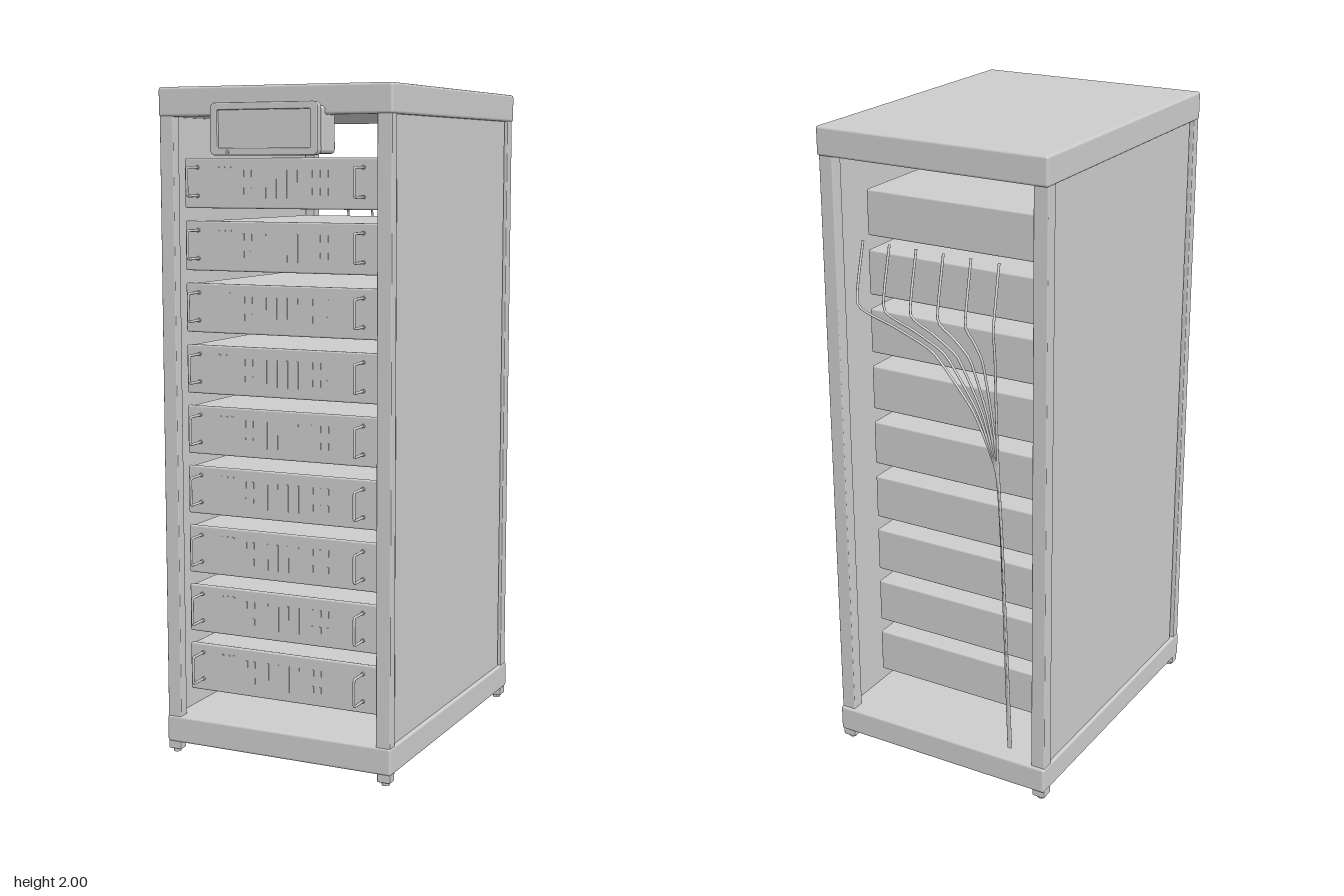
import * as THREE from 'three';
import { RoundedBoxGeometry } from 'three/addons/geometries/RoundedBoxGeometry.js';

const grey = new THREE.MeshStandardMaterial({ color: 0xcccccc });
grey.name = 'light grey';

function add(parent, name, geometry, x = 0, y = 0, z = 0) {
  const mesh = new THREE.Mesh(geometry, grey);
  mesh.name = name;
  mesh.position.set(x, y, z);
  parent.add(mesh);
  return mesh;
}

// box given by its limits on each axis, with optional rounded edges
function block(parent, name, [x0, x1], [y0, y1], [z0, z1], r = 0) {
  const size = [x1 - x0, y1 - y0, z1 - z0];
  const geometry = r ? new RoundedBoxGeometry(...size, 2, r) : new THREE.BoxGeometry(...size);
  return add(parent, name, geometry, (x0 + x1) / 2, (y0 + y1) / 2, (z0 + z1) / 2);
}

function tube(parent, name, points, radius, segments, tension) {
  const path = new THREE.CatmullRomCurve3(points.map(p => new THREE.Vector3(...p)), false, 'catmullrom', tension);
  return add(parent, name, new THREE.TubeGeometry(path, segments, radius, 8));
}

function roundedRect(path, w, h, r) {
  path.moveTo(-w + r, -h);
  path.lineTo(w - r, -h).quadraticCurveTo(w, -h, w, -h + r);
  path.lineTo(w, h - r).quadraticCurveTo(w, h, w - r, h);
  path.lineTo(-w + r, h).quadraticCurveTo(-w, h, -w, h - r);
  path.lineTo(-w, -h + r).quadraticCurveTo(-w, -h, -w + r, -h);
  return path;
}

// cap, base, corner posts, feet and side panels
function cabinet() {
  const g = new THREE.Group();
  g.name = 'cabinet';
  block(g, 'topCap', [-0.372, 0.372], [1.915, 2], [-0.484, 0.491], 0.008);
  block(g, 'base', [-0.372, 0.372], [0.033, 0.116], [-0.484, 0.491], 0.008);
  for (const s of [-1, 1]) {
    const span = (a, b) => (s > 0 ? [a, b] : [-b, -a]);
    for (const [z0, z1] of [[0.454, 0.488], [-0.476, -0.434]]) {
      block(g, 'cornerPost', span(0.324, 0.369), [0.11, 1.92], [z0, z1], 0.003);
      block(g, 'foot', span(0.328, 0.369), [0.01, 0.036], [z0, z1], 0.003);
      add(g, 'footPad', new THREE.CylinderGeometry(0.012, 0.012, 0.012, 16), s * 0.349, 0.006, (z0 + z1) / 2);
    }
    block(g, 'sidePanel', span(0.35, 0.362), [0.11, 1.92], [-0.425, 0.439]);
  }
  return g;
}

// one rack unit: body, faceplate, handles, lights and vent slots
function rackUnit() {
  const g = new THREE.Group();
  g.name = 'rackUnit';
  block(g, 'unitBody', [-0.308, 0.308], [0.003, 0.142], [-0.336, 0.438], 0.006);
  block(g, 'faceplate', [-0.311, 0.311], [0, 0.145], [0.434, 0.448], 0.005);
  for (const x of [-0.267, 0.265]) {
    tube(g, 'handle', [
      [x, 0.118, 0.446], [x, 0.118, 0.504], [x, 0.113, 0.51],
      [x, 0.041, 0.51], [x, 0.036, 0.504], [x, 0.036, 0.446],
    ], 0.004, 40, 0.1);
    for (const y of [0.036, 0.118])
      add(g, 'handleFoot', new THREE.CylinderGeometry(0.006, 0.006, 0.008, 12), x, y, 0.45).rotation.x = Math.PI / 2;
  }
  for (let i = 0; i < 3; i++)
    block(g, 'statusLight', [-0.204 + i * 0.02, -0.196 + i * 0.02], [0.116, 0.12], [0.446, 0.45]);
  for (let i = 0; i < 4; i++)
    block(g, 'ventSlot', [-0.048 + i * 0.034, -0.043 + i * 0.034], [0.03, 0.11], [0.446, 0.45]);
  for (const x of [-0.12, -0.095, 0.1, 0.125, 0.15])
    for (const y of [0.04, 0.09])
      block(g, 'port', [x, x + 0.006], [y, y + 0.02], [0.446, 0.45]);
  return g;
}

// control screen in a raised bezel, hung under the cap
function display() {
  const g = new THREE.Group();
  g.name = 'display';
  block(g, 'displayBody', [-0.17, 0.167], [1.807, 1.94], [0.42, 0.512], 0.012);
  block(g, 'displayNeck', [-0.14, 0.137], [1.825, 1.93], [0.5, 0.522]);
  block(g, 'screen', [-0.16, 0.157], [1.815, 1.938], [0.516, 0.532]);
  const frame = roundedRect(new THREE.Shape(), 0.167, 0.071, 0.014);
  frame.holes.push(roundedRect(new THREE.Path(), 0.15, 0.056, 0.008));
  const geometry = new THREE.ExtrudeGeometry(frame, {
    depth: 0.018, bevelThickness: 0.004, bevelSize: 0.003, bevelSegments: 2, curveSegments: 6,
  });
  add(g, 'bezel', geometry, -0.002, 1.877, 0.519);
  add(g, 'button', new THREE.CylinderGeometry(0.005, 0.005, 0.008, 12), -0.115, 1.813, 0.542).rotation.x = Math.PI / 2;
  return g;
}

// cables that fan out at the top and gather into one bundle at the right
function cables() {
  const g = new THREE.Group();
  g.name = 'cables';
  for (let i = 0; i < 6; i++) {
    const x = -0.24 + i * 0.089;
    const fan = k => -0.25 + (x + 0.25) * k;
    const shift = (i - 2.5) * 0.0015;
    tube(g, 'cable', [
      [x + 0.016, 1.69, -0.485], [x, 1.52, -0.546], [fan(0.74), 1.475, -0.546],
      [fan(0.45), 1.42, -0.546], [fan(0.17), 1.27, -0.546], [-0.25 + shift, 1.1, -0.545],
      [-0.262 + shift, 0.86, -0.54 + shift], [-0.268 + shift, 0.18, -0.508],
    ], 0.0038, 80, 0.25);
  }
  return g;
}

export function createModel() {
  const model = new THREE.Group();
  model.name = 'serverRack';
  model.add(cabinet(), display(), cables());
  for (let i = 0; i < 9; i++) {
    const unit = rackUnit();
    unit.position.y = 0.196 + i * 0.182;
    model.add(unit);
  }
  return model;
}
